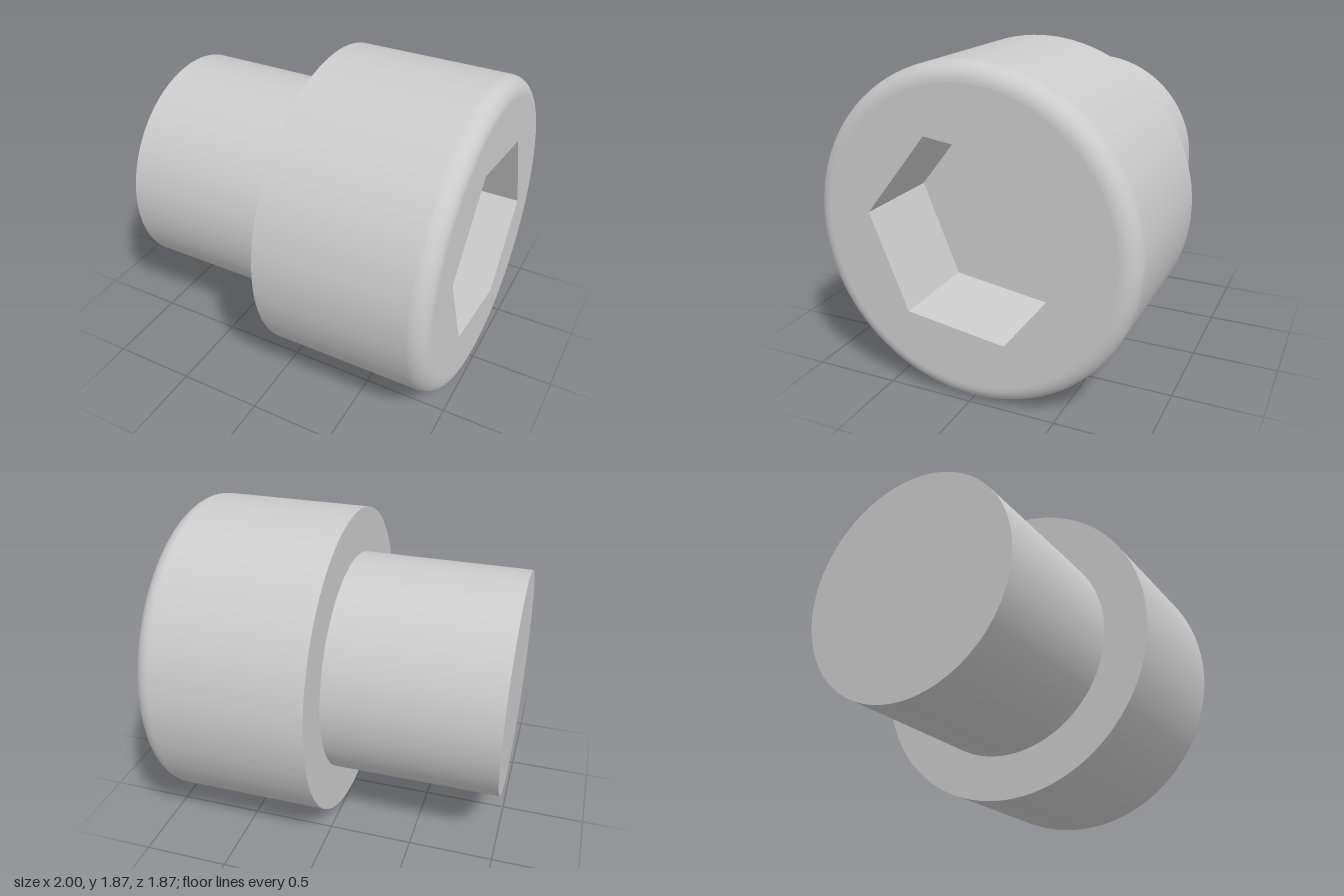
import * as THREE from 'three';
import { mergeGeometries } from 'three/addons/utils/BufferGeometryUtils.js';

const HEAD_R = 0.933, SHANK_R = 0.667, FILLET = 0.1;
const HEX_R = 0.586, HEX_DEPTH = 0.55, HEX_TURN = THREE.MathUtils.degToRad(-8.3);
const SEGMENTS = 96;

// Surface of revolution about local z; pairs are [radius, z]
function revolve(points) {
  const profile = points.map(([r, z]) => new THREE.Vector2(r, z));
  return new THREE.LatheGeometry(profile, SEGMENTS).rotateX(Math.PI / 2);
}

function hexPoints() {
  return Array.from({ length: 6 }, (_, i) => {
    const a = HEX_TURN + (i * Math.PI) / 3;
    return new THREE.Vector2(HEX_R * Math.cos(a), HEX_R * Math.sin(a));
  });
}

export function createModel() {
  const model = new THREE.Group();
  model.name = 'socketHeadScrew';
  const material = new THREE.MeshStandardMaterial({ color: 0xcccccc });

  const add = (name, geometry) => {
    const mesh = new THREE.Mesh(geometry, material);
    mesh.name = name;
    model.add(mesh);
  };

  // Plain shank with a flat end
  add('shank', revolve([[SHANK_R, -1], [SHANK_R, 0]]));
  add('shankEnd', revolve([[0, -1], [SHANK_R, -1]]));

  // Bearing face under the head
  add('headUnderside', revolve([[SHANK_R, 0], [HEAD_R, 0]]));

  // Head side, rounded over at the front rim
  const side = [[HEAD_R, 0]];
  for (let i = 0; i <= 10; i++) {
    const a = (i / 10) * Math.PI / 2;
    side.push([HEAD_R - FILLET + FILLET * Math.cos(a), 1 - FILLET + FILLET * Math.sin(a)]);
  }
  add('headSide', revolve(side));

  // Flat front face with the hexagonal opening
  const face = new THREE.Shape().absarc(0, 0, HEAD_R - FILLET, 0, Math.PI * 2);
  face.holes.push(new THREE.Path(hexPoints().reverse()));
  add('headFace', new THREE.ShapeGeometry(face, SEGMENTS / 2).translate(0, 0, 1));

  // Six inward-facing socket walls
  const apothem = HEX_R * Math.cos(Math.PI / 6);
  const walls = [];
  for (let i = 0; i < 6; i++) {
    walls.push(new THREE.PlaneGeometry(HEX_R, HEX_DEPTH)
      .rotateX(Math.PI / 2)
      .translate(0, apothem, 1 - HEX_DEPTH / 2)
      .rotateZ(HEX_TURN + (i * Math.PI) / 3));
  }
  add('socketWalls', mergeGeometries(walls));

  // Socket floor
  const floor = new THREE.ShapeGeometry(new THREE.Shape(hexPoints()));
  add('socketFloor', floor.translate(0, 0, 1 - HEX_DEPTH));

  // Lay the axis along x and rest the head on the ground
  model.rotation.y = Math.PI / 2;
  model.position.y = HEAD_R;
  const root = new THREE.Group();
  root.name = 'screw';
  root.add(model);
  return root;
}
